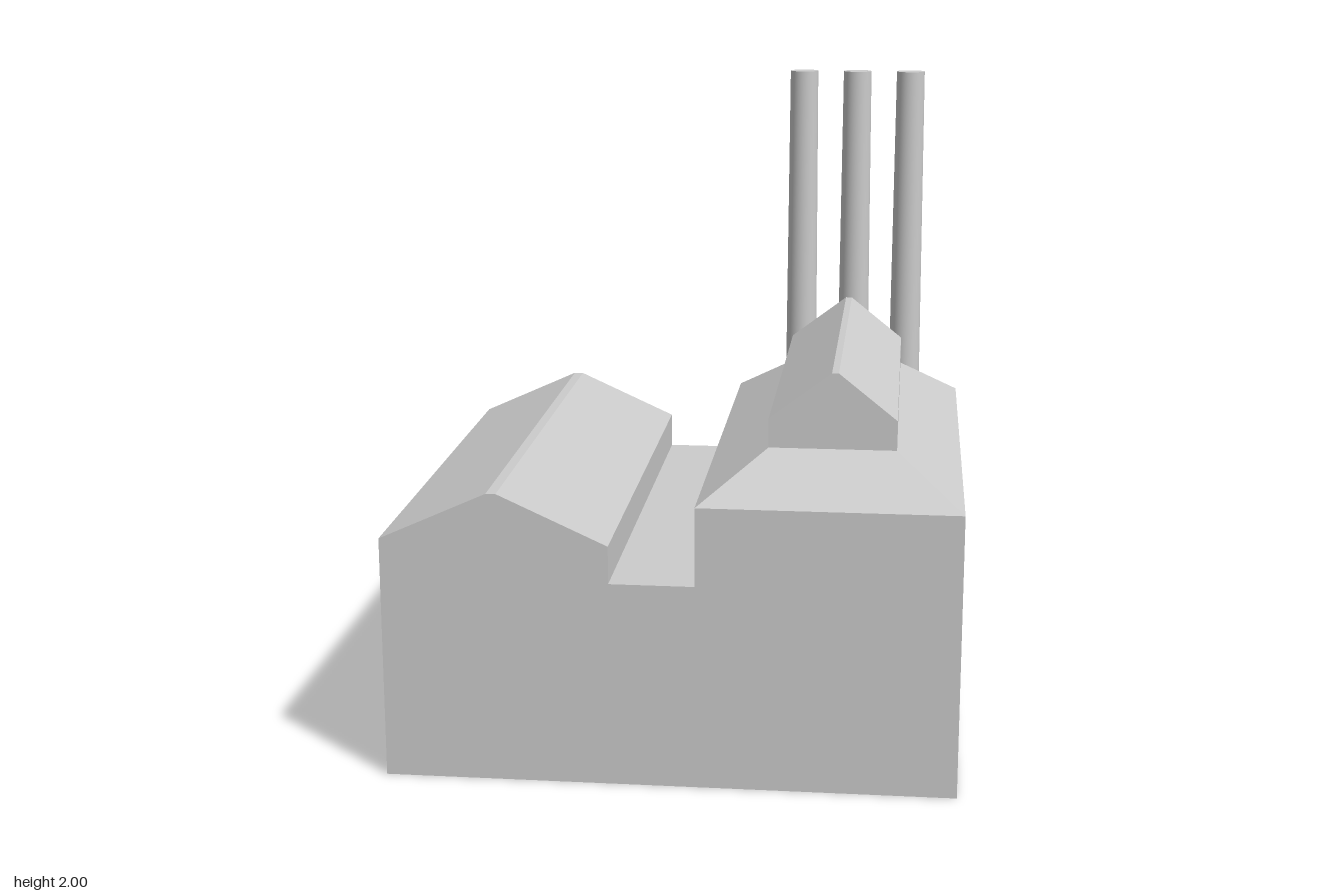
import * as THREE from 'three';

const BACK = -0.735, FRONT = 0.88;           // main block
const ROOF_BACK = -0.535, ROOF_FRONT = 0.68; // raised roof

export function createModel() {
  const model = new THREE.Group();
  const flat = new THREE.MeshStandardMaterial({ color: 0xcccccc, flatShading: true });
  const smooth = new THREE.MeshStandardMaterial({ color: 0xcccccc });

  const add = (name, geometry, material = flat) => {
    const mesh = new THREE.Mesh(geometry, material);
    mesh.name = name;
    model.add(mesh);
    return mesh;
  };

  // Extrude an x/y outline from z0 to z1
  const prism = (points, z0, z1) => {
    const shape = new THREE.Shape(points.map(([x, y]) => new THREE.Vector2(x, y)));
    return new THREE.ExtrudeGeometry(shape, { depth: z1 - z0, bevelEnabled: false }).translate(0, 0, z0);
  };

  // Main block: gabled hall, gutter valley and tall hall
  add('building', prism([
    [-0.86, 0], [0.86, 0], [0.86, 0.87], [0.08, 0.87], [0.08, 0.63],
    [-0.175, 0.63], [-0.175, 0.745], [-0.505, 0.895], [-0.535, 0.895], [-0.86, 0.748],
  ], BACK, FRONT));

  // Hipped skirt roof: a box whose top is drawn in
  const skirt = new THREE.BoxGeometry(1, 1, 1).toNonIndexed();
  const pos = skirt.attributes.position;
  for (let i = 0; i < pos.count; i++) {
    const top = pos.getY(i) > 0;
    const right = pos.getX(i) > 0, front = pos.getZ(i) > 0;
    pos.setXYZ(i,
      top ? (right ? 0.66 : 0.28) : (right ? 0.86 : 0.08),
      top ? 1.005 : 0.87,
      top ? (front ? ROOF_FRONT : ROOF_BACK) : (front ? FRONT : BACK));
  }
  skirt.computeVertexNormals();
  add('skirtRoof', skirt);

  // Raised gabled roof along the ridge
  add('raisedRoof', prism([
    [0.28, 1.005], [0.66, 1.005], [0.66, 1.095],
    [0.485, 1.235], [0.465, 1.235], [0.28, 1.095],
  ], ROOF_BACK, ROOF_FRONT));

  // Tapered chimney stacks behind the building
  [0.295, 0.484, 0.672].forEach((x, i) => {
    add(`chimney${i + 1}`, new THREE.CylinderGeometry(0.049, 0.06, 1.99, 32), smooth)
      .position.set(x, 1.005, -0.82);
  });

  return model;
}
